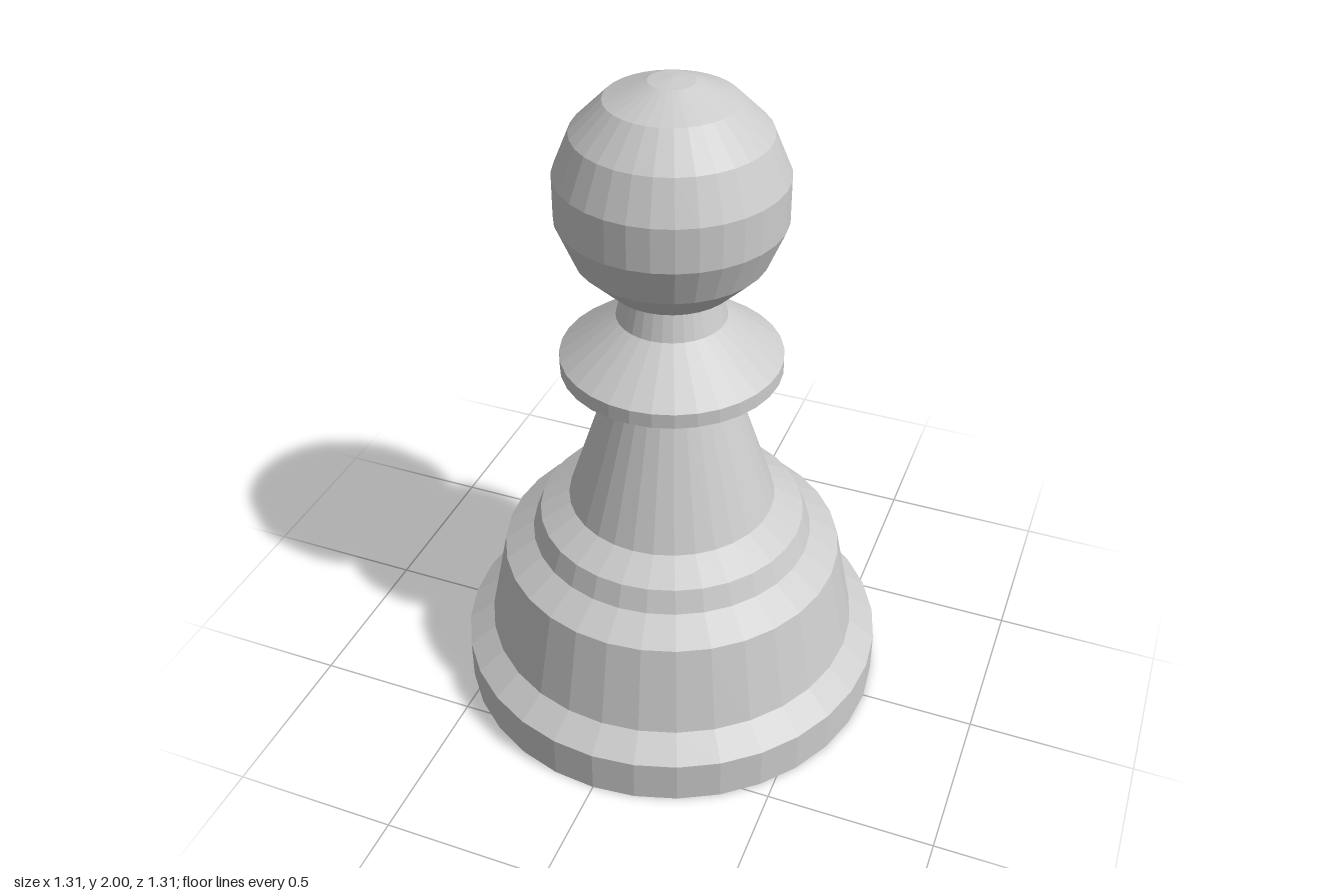
import * as THREE from 'three';

const SIDES = 32;
const material = new THREE.MeshStandardMaterial({ color: 0xcccccc, flatShading: true });

// Faceted turned part from [radius, height] pairs, listed bottom to top
function turned(name, profile) {
  const points = profile.map(([r, y]) => new THREE.Vector2(r, y));
  const mesh = new THREE.Mesh(new THREE.LatheGeometry(points, SIDES), material);
  mesh.name = name;
  return mesh;
}

export function createModel() {
  const pawn = new THREE.Group();
  pawn.name = 'pawn';

  // Foot with closed underside, then the stepped drum
  pawn.add(turned('base', [
    [0, 0], [0.655, 0], [0.655, 0.135], [0.575, 0.195],
    [0.52, 0.47], [0.43, 0.53], [0.405, 0.6], [0.315, 0.655],
  ]));

  // Tapered stem
  pawn.add(turned('stem', [[0.315, 0.655], [0.187, 1.045]]));

  // Flared collar and short neck
  pawn.add(turned('collar', [[0.187, 1.045], [0.325, 1.12], [0.325, 1.165], [0.16, 1.29]]));
  pawn.add(turned('neck', [[0.16, 1.29], [0.138, 1.372]]));

  // Ball head: rings every 22.5 degrees, offset half a step from the poles
  const head = [[0.138, 1.372]];
  for (let i = 6; i >= 0; i--) {
    const a = THREE.MathUtils.degToRad(11.25 + 22.5 * i);
    head.push([0.33 * Math.sin(a), 1.67 + 0.33 * Math.cos(a)]);
  }
  head.push([0, 2]);
  pawn.add(turned('head', head));

  return pawn;
}
